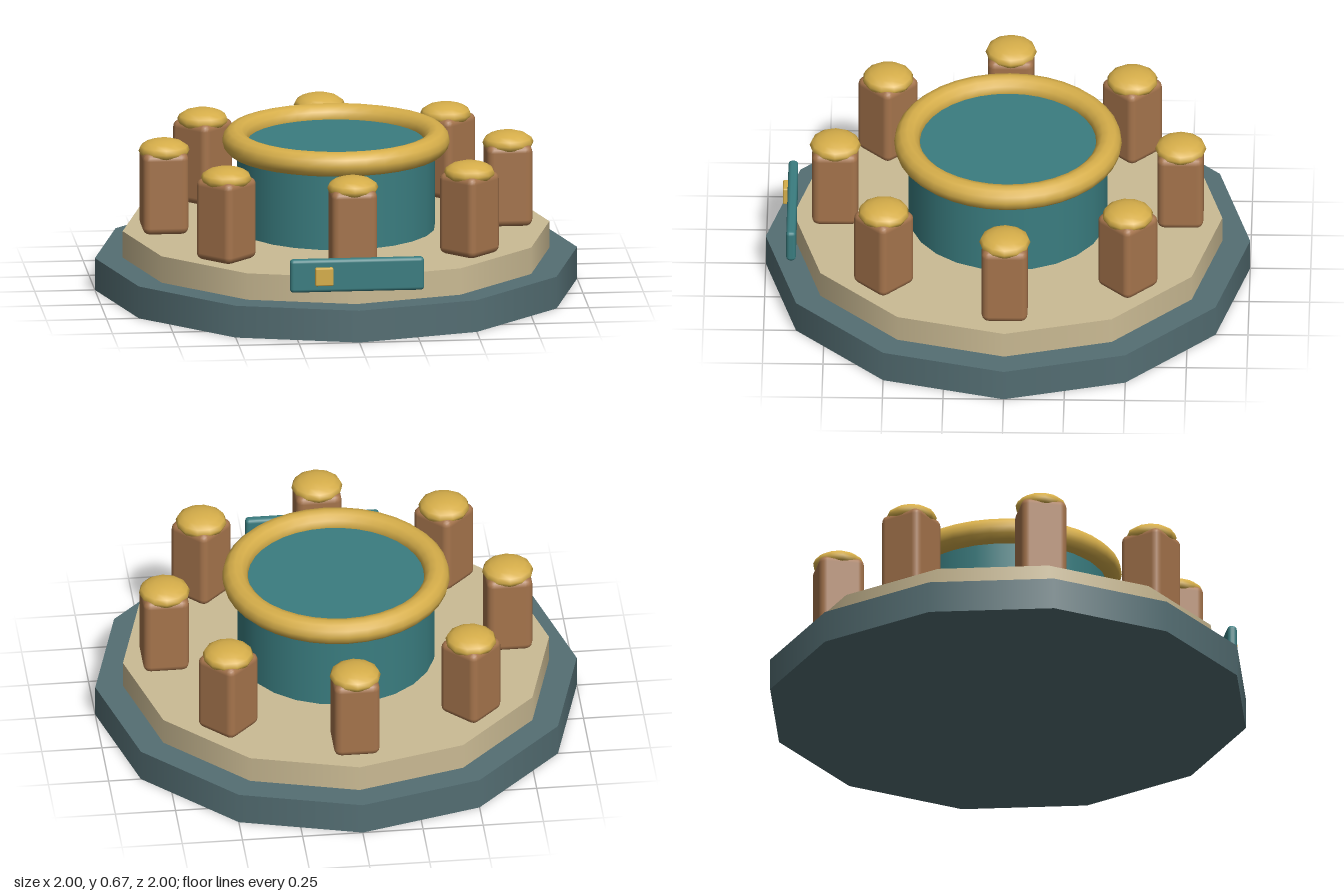
import * as THREE from 'three';
import { RoundedBoxGeometry } from 'three/addons/geometries/RoundedBoxGeometry.js';

const material = (name, color) => {
  const m = new THREE.MeshStandardMaterial({ color });
  m.name = name;
  return m;
};

export function createModel() {
  const slate = material('slate', 0x546e73);
  const sand = material('sand', 0xcbbb94);
  const teal = material('teal', 0x3a7d80);
  const gold = material('gold', 0xd6ae4a);
  const wood = material('wood', 0xa5744c);

  const model = new THREE.Group();
  model.name = 'roundMonument';

  const add = (parent, name, geometry, mat, x = 0, y = 0, z = 0) => {
    const mesh = new THREE.Mesh(geometry, mat);
    mesh.name = name;
    mesh.position.set(x, y, z);
    parent.add(mesh);
    return mesh;
  };
  // Upright cylinder standing between two heights
  const drum = (name, radius, y0, y1, sides, mat) =>
    add(model, name, new THREE.CylinderGeometry(radius, radius, y1 - y0, sides), mat, 0, (y0 + y1) / 2, 0);

  // Twelve-sided stepped base
  drum('base', 1, 0, 0.135, 12, slate);
  drum('floor', 0.885, 0.135, 0.247, 12, sand);

  // Central drum with a rounded rim
  drum('centralDrum', 0.41, 0.247, 0.61, 24, teal);
  const rim = add(model, 'rim', new THREE.TorusGeometry(0.417, 0.053, 12, 36), gold, 0, 0.614, 0);
  rim.rotation.x = Math.PI / 2;

  // Ring of eight capped posts, each facing outwards
  const postGeometry = new RoundedBoxGeometry(0.19, 0.345, 0.19, 2, 0.03);
  const capGeometry = new THREE.SphereGeometry(0.106, 12, 8).scale(1, 0.45, 1);
  for (let i = 0; i < 8; i++) {
    const angle = (i * Math.PI) / 4;
    const post = new THREE.Group();
    post.name = 'post';
    post.position.set(Math.sin(angle) * 0.713, 0, Math.cos(angle) * 0.713);
    post.rotation.y = angle;
    add(post, 'postBody', postGeometry, wood, 0, 0.419, 0);
    add(post, 'postCap', capGeometry, gold, 0, 0.589, 0);
    model.add(post);
  }

  // Front plaque with a small raised tile
  add(model, 'plaque', new RoundedBoxGeometry(0.556, 0.14, 0.04, 2, 0.015), teal, 0, 0.263, 0.891);
  add(model, 'plaqueTile', new RoundedBoxGeometry(0.076, 0.076, 0.035, 1, 0.006), gold, -0.138, 0.263, 0.914);

  return model;
}
